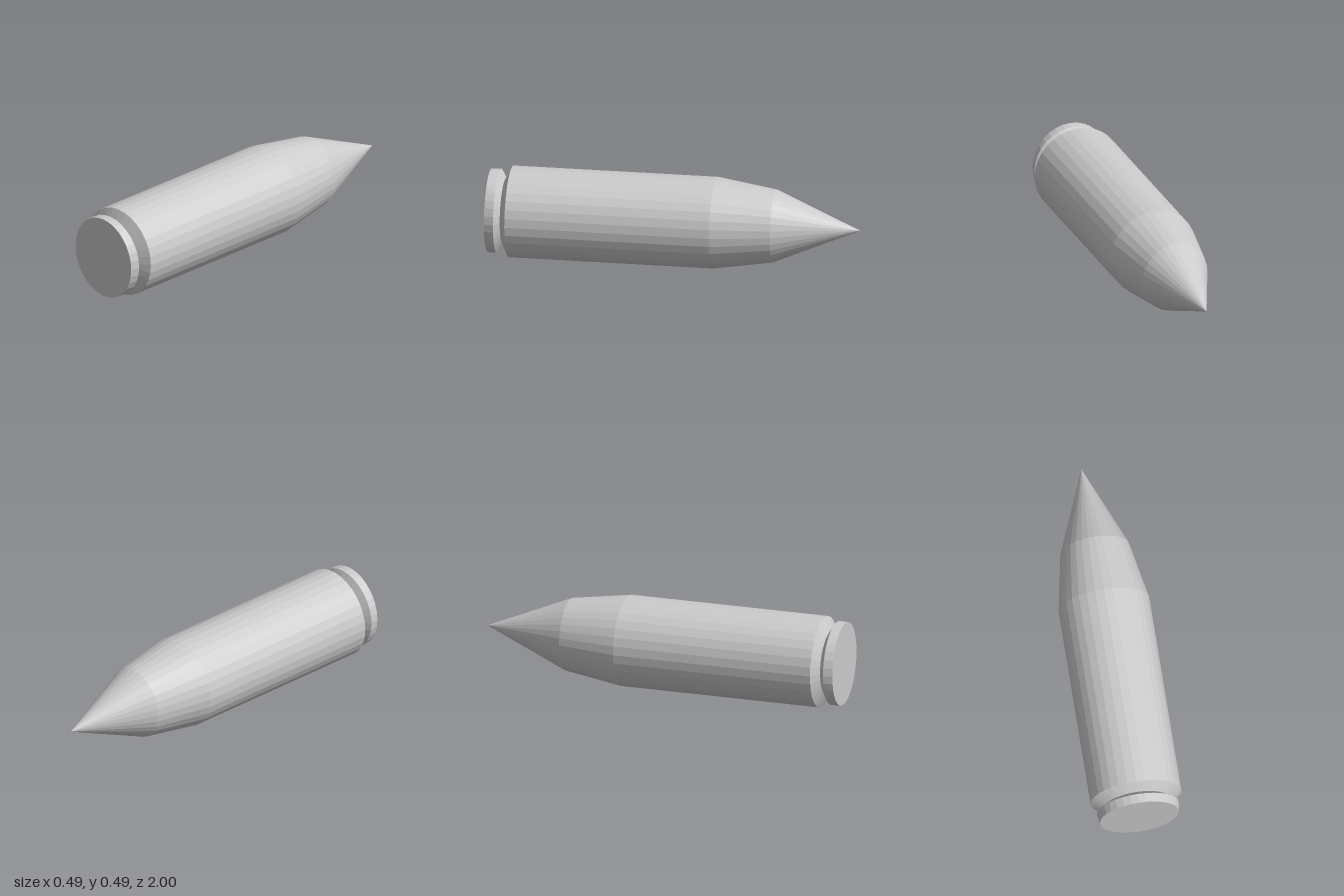
import * as THREE from 'three';

const SIDES = 32;
const AXIS_Y = 0.247;

// Cross-sections along z: [z, radius in x, radius in y]
const BASE = [1, 0.213, 0.226];
const RIM = [0.95, 0.222, 0.226];
const GROOVE = [0.92, 0.178, 0.177];
const BODY_FRONT = [0.885, 0.2455, 0.2455];
const BODY_BACK = [-0.22, 0.2455, 0.2455];
const SHOULDER = [-0.54, 0.186, 0.197];
const TIP = [-1, 0, 0];

// Open faceted band between two elliptical cross-sections
function band(front, back) {
  const geometry = new THREE.CylinderGeometry(1, 1, 2, SIDES, 1, true).rotateX(Math.PI / 2);
  const p = geometry.attributes.position;
  for (let i = 0; i < p.count; i++) {
    const [z, rx, ry] = p.getZ(i) > 0 ? front : back;
    p.setXYZ(i, p.getX(i) * rx, p.getY(i) * ry, z);
  }
  geometry.computeVertexNormals();
  return geometry;
}

export function createModel() {
  const group = new THREE.Group();
  group.name = 'cartridge';
  const material = new THREE.MeshStandardMaterial({ color: 0xcccccc, flatShading: true });

  const add = (name, geometry) => {
    const mesh = new THREE.Mesh(geometry, material);
    mesh.name = name;
    mesh.position.y = AXIS_Y;
    group.add(mesh);
  };

  // Flat base disc and extractor rim
  add('baseDisc', new THREE.CircleGeometry(1, SIDES).scale(BASE[1], BASE[2], 1).translate(0, 0, BASE[0]));
  add('rim', band(BASE, RIM));

  // V-shaped groove between the rim and the case
  add('grooveRimSide', band(RIM, GROOVE));
  add('grooveCaseSide', band(GROOVE, BODY_FRONT));

  // Straight case, tapered shoulder and pointed nose
  add('caseBody', band(BODY_FRONT, BODY_BACK));
  add('shoulder', band(BODY_BACK, SHOULDER));
  add('nose', band(SHOULDER, TIP));

  return group;
}
